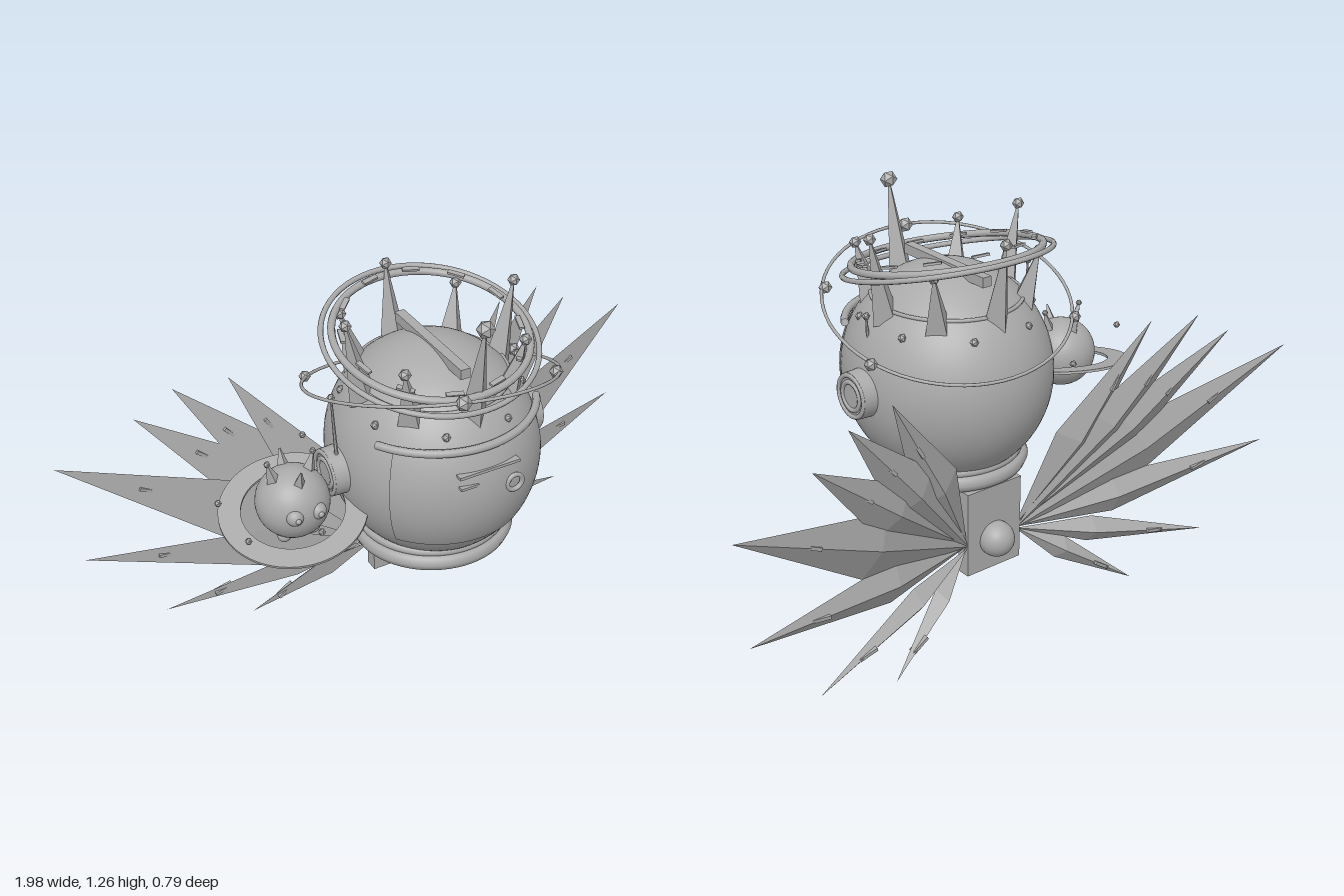
import * as THREE from 'three';

const shell = new THREE.MeshStandardMaterial({ color: 0xaaaaaa, side: THREE.DoubleSide });
shell.name = 'grey';

// Adds a named mesh at a position
function add(parent, name, geo, x = 0, y = 0, z = 0) {
  const m = new THREE.Mesh(geo, shell);
  m.name = name;
  m.position.set(x, y, z);
  parent.add(m);
  return m;
}

// Gives a geometry hard facets
function facet(geo) {
  const g = geo.index ? geo.toNonIndexed() : geo;
  g.computeVertexNormals();
  return g;
}

const gem = r => facet(new THREE.IcosahedronGeometry(r, 0));

// Horizontal torus, with an optional arc centred on +z
function hoop(r, tube, arc = Math.PI * 2) {
  return new THREE.TorusGeometry(r, tube, 8, 64, arc).rotateX(Math.PI / 2).rotateY(arc / 2 - Math.PI / 2);
}

// Tapered spike from base to tip, optionally carrying a gem
function spike(parent, name, base, tip, r, ball, sides = 4) {
  const a = new THREE.Vector3(...base), b = new THREE.Vector3(...tip), d = b.clone().sub(a);
  const m = add(parent, name, facet(new THREE.CylinderGeometry(0.003, r, d.length(), sides)));
  m.position.copy(a).lerp(b, 0.5);
  m.quaternion.setFromUnitVectors(new THREE.Vector3(0, 1, 0), d.normalize());
  if (ball) add(parent, name + 'Gem', gem(ball), ...tip);
}

// Kite shaped blade with a flat front and a ridge at the back
function bladeGeometry(root, tip, at, half) {
  const a = new THREE.Vector3(...root), b = new THREE.Vector3(...tip);
  const d = b.clone().sub(a), side = new THREE.Vector3(-d.y, d.x, 0).setLength(half);
  const mid = a.clone().addScaledVector(d, at);
  const l = mid.clone().add(side), r = mid.clone().sub(side);
  const ridge = mid.clone().add(new THREE.Vector3(0, 0, -0.038));
  const faces = [a, r, b, a, b, l, a, ridge, r, r, ridge, b, b, ridge, l, l, ridge, a];
  const g = new THREE.BufferGeometry().setFromPoints(faces);
  g.computeVertexNormals();
  return g;
}

function helmet(root) {
  const cy = 0.74, cz = 0.045;
  const g = new THREE.Group();
  g.name = 'helmet';
  g.position.set(0, cy, cz);
  root.add(g);
  // Shell, closed flat at the neck
  add(g, 'helmetShell', new THREE.SphereGeometry(0.329, 64, 40, 0, Math.PI * 2, 0, 2.67)).scale.x = 0.935;
  add(g, 'neckFloor', new THREE.CircleGeometry(0.15, 40).rotateX(Math.PI / 2), 0, -0.293, 0).scale.x = 0.935;
  // Raised face plate and its fittings
  const plate = new THREE.SphereGeometry(0.333, 40, 16, Math.PI / 2 - 0.92, 1.84, 1.13, 0.97);
  add(g, 'facePlate', plate).scale.x = 0.935;
  add(g, 'visorBrim', hoop(0.302, 0.012, 2.1), 0, 0.155, 0).scale.x = 0.98;
  add(g, 'faceSlot', new THREE.BoxGeometry(0.19, 0.009, 0.03), 0, 0.09, 0.31);
  add(g, 'faceDash', new THREE.BoxGeometry(0.055, 0.008, 0.02), -0.065, 0.055, 0.319);
  add(g, 'lens', new THREE.TorusGeometry(0.024, 0.007, 10, 32), 0.08, 0.022, 0.325);
  // Ear discs
  for (const s of [-1, 1]) {
    const ear = add(g, 'ear', new THREE.CylinderGeometry(0.07, 0.073, 0.07, 40), s * 0.308);
    ear.rotation.z = -s * Math.PI / 2;
    for (const r of [0.062, 0.042]) {
      add(g, 'earRing', new THREE.TorusGeometry(r, 0.008, 8, 40).rotateY(Math.PI / 2), s * 0.341);
    }
  }
  spike(g, 'earAntenna', [-0.315, 0.06, 0.02], [-0.325, 0.255, 0.02], 0.006, 0.012, 6);
  spike(g, 'earAntenna', [0.265, 0.13, 0.02], [0.27, 0.22, 0.02], 0.006, 0.012, 6);
  // Crown band, dome ridge and eight spikes
  add(g, 'crownBand', hoop(0.23, 0.006), 0, 0.235, 0).scale.x = 0.94;
  add(g, 'domeRidge', new THREE.BoxGeometry(0.03, 0.03, 0.37), 0, 0.32, 0);
  for (let i = 0; i < 8; i++) {
    const a = i * Math.PI / 4, front = i === 0;
    const out = front ? 0.28 : 0.265, top = front ? 0.505 : i % 2 ? 0.375 : 0.45;
    spike(g, 'crownSpike', [Math.sin(a) * 0.215, 0.2, Math.cos(a) * 0.222],
      [Math.sin(a) * out, top, Math.cos(a) * out], 0.045, front ? 0.026 : 0.018);
    const b = a + Math.PI / 8;
    add(g, 'rivet', gem(0.013), Math.sin(b) * 0.255, 0.185, Math.cos(b) * 0.272);
  }
  // Neck collar
  add(root, 'collarUpper', hoop(0.215, 0.014), 0, 0.493, cz);
  add(root, 'collarLower', hoop(0.218, 0.027), 0, 0.461, cz);
}

function halo(root) {
  const g = new THREE.Group();
  g.name = 'halo';
  g.position.set(0, 1.078, 0.04);
  g.rotation.x = 0.245;
  root.add(g);
  add(g, 'outerHalo', hoop(0.306, 0.008));
  // Thicker inner ring, lying flatter
  add(g, 'innerHalo', hoop(0.277, 0.011), 0, 0.016, 0).rotation.x = -0.05;
  // Short dashes floating round the halo
  for (let i = 0; i < 12; i++) {
    const a = (i + 0.5) * Math.PI / 6;
    const d = add(g, 'haloDash', new THREE.BoxGeometry(0.05, 0.007, 0.015), Math.sin(a) * 0.255, 0.03, Math.cos(a) * 0.255);
    d.rotation.y = a;
  }
  // Wide thin orbit sloping the other way
  const orbit = add(root, 'orbit', hoop(0.365, 0.005), 0, 0.955, 0.04);
  orbit.rotation.set(-0.32, 0, -0.11);
  for (const [x, z, r] of [[0.283, 0.25, 0.02], [0.35, -0.07, 0.02], [-0.09, 0.37, 0.024], [-0.28, -0.2, 0.018]]) {
    add(root, 'orbitBead', gem(r), x, 0.955 + 0.33 * (z - 0.04) - 0.11 * x, z);
  }
}

function wings(root) {
  // Tip x, y, z, position of widest point, half width
  const blades = [
    [0.465, 0.89, -0.33, 0.44, 0.08], [0.625, 0.88, -0.365, 0.5, 0.085],
    [0.745, 0.805, -0.38, 0.52, 0.085], [0.99, 0.70, -0.4, 0.45, 0.1],
    [0.95, 0.37, -0.375, 0.38, 0.068], [0.73, 0.105, -0.345, 0.38, 0.042],
    [0.455, 0.01, -0.31, 0.38, 0.036]];
  const left = new THREE.Group(), right = new THREE.Group();
  left.name = 'leftWing';
  right.name = 'rightWing';
  right.scale.x = -1;
  for (const w of [left, right]) {
    root.add(w);
    blades.forEach(([x, y, z, at, half], i) => {
      const start = [0.09, 0.256, -0.168 - (i % 2) * 0.008];
      add(w, 'blade', bladeGeometry(start, [x, y, z], at, half));
      // Slim bar along the ridge
      const p = new THREE.Vector3(...start).lerp(new THREE.Vector3(x, y, z), 0.72);
      const bar = add(w, 'bladeBar', new THREE.BoxGeometry(0.06, 0.01, 0.022), p.x, p.y, p.z - 0.009);
      bar.rotation.z = Math.atan2(y - 0.256, x - 0.09);
    });
  }
  // Mount holding both wings
  add(root, 'mountPlate', new THREE.BoxGeometry(0.2, 0.275, 0.044), 0, 0.298, -0.162);
  add(root, 'mountDome', new THREE.SphereGeometry(0.055, 32, 20), 0, 0.262, -0.195);
}

function planet(root) {
  const g = new THREE.Group();
  g.name = 'smallPlanet';
  g.position.set(-0.443, 0.675, 0.035);
  root.add(g);
  add(g, 'planetBody', new THREE.SphereGeometry(0.107, 40, 24));
  // Flat tilted ring
  const shape = new THREE.Shape().absarc(0, 0, 0.212, 0, Math.PI * 2);
  shape.holes.push(new THREE.Path().absarc(0, 0, 0.148, 0, Math.PI * 2, true));
  const ringGeo = new THREE.ExtrudeGeometry(shape, { depth: 0.008, bevelEnabled: false, curveSegments: 40 }).rotateX(-Math.PI / 2);
  add(g, 'planetRing', ringGeo, 0, -0.035, 0).rotation.set(0.2, 0, 0.1);
  // Eyes, antennae and feet
  for (const s of [-1, 1]) {
    add(g, 'eye', new THREE.SphereGeometry(0.025, 20, 14), s * 0.035, 0.01, 0.09);
    add(g, 'pupil', new THREE.SphereGeometry(0.009, 12, 8), s * 0.035, 0.01, 0.112);
    spike(g, 'planetAntenna', [s * 0.05, 0.075, 0], [s * 0.07, 0.145, 0], 0.024, 0.01);
    add(g, 'foot', new THREE.SphereGeometry(0.02, 16, 10), s * 0.045, -0.088, 0.03);
  }
  // Low spikes at front and back of the crown
  for (const s of [-1, 1]) {
    spike(g, 'planetSpike', [0, 0.08, s * 0.05], [0, 0.135, s * 0.07], 0.02);
  }
  // Tiny moons
  for (const [x, y, z] of [[-0.21, 0.045, -0.03], [-0.18, -0.01, 0.1], [0.13, 0.06, -0.2], [-0.015, 0.04, 0.22]]) {
    add(g, 'moon', gem(0.011), x, y, z);
  }
}

export function createModel() {
  const root = new THREE.Group();
  root.name = 'wingedHelmet';
  helmet(root);
  halo(root);
  wings(root);
  planet(root);
  return root;
}
